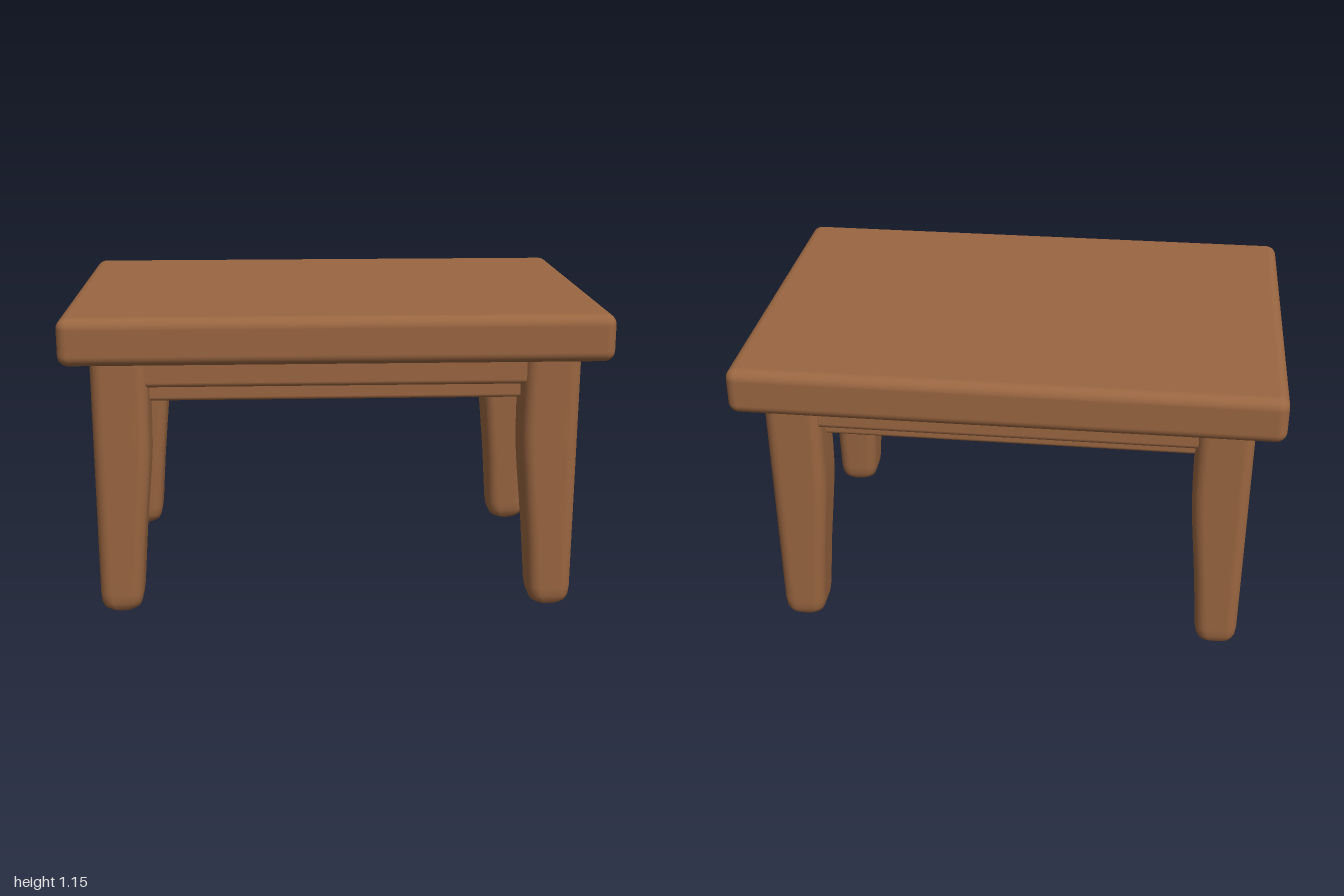
import * as THREE from 'three';
import { RoundedBoxGeometry } from 'three/addons/geometries/RoundedBoxGeometry.js';

const wood = new THREE.MeshStandardMaterial({ color: 0x9a6641 });
wood.name = 'brown wood';

// Leg levels: height, inner x, inner z, inset all round (for the rounded foot)
const LEVELS = [
  [0, 0.737, 0.42, 0.045],
  [0.008, 0.737, 0.42, 0.026],
  [0.022, 0.736, 0.42, 0.011],
  [0.045, 0.735, 0.419, 0.003],
  [0.08, 0.733, 0.418, 0],
  [0.3, 0.718, 0.404, 0],
  [0.52, 0.698, 0.39, 0],
  [0.62, 0.691, 0.384, 0],
  [0.7, 0.69, 0.383, 0],
  [1.0, 0.69, 0.383, 0],
];

// Tapered leg lofted through rounded rectangles; outer faces stay upright
function legGeometry(sx, sz) {
  const steps = 5, count = 4 * (steps + 1);
  const pos = [], index = [];
  for (const [y, innerX, innerZ, inset] of LEVELS) {
    const outerX = 0.894 + 0.006 * y, outerZ = 0.6 + 0.004 * y;
    const cx = sx * (innerX + outerX) / 2, cz = sz * (innerZ + outerZ) / 2;
    const hx = (outerX - innerX) / 2 - inset, hz = (outerZ - innerZ) / 2 - inset;
    const r = Math.min(0.045, hx * 0.9);
    for (let c = 0; c < 4; c++) {
      const mid = Math.PI / 4 + c * Math.PI / 2;
      for (let i = 0; i <= steps; i++) {
        const a = (c + i / steps) * Math.PI / 2;
        pos.push(
          cx + Math.sign(Math.cos(mid)) * (hx - r) + r * Math.cos(a),
          y,
          cz + Math.sign(Math.sin(mid)) * (hz - r) + r * Math.sin(a));
      }
    }
  }
  for (let l = 0; l < LEVELS.length - 1; l++) {
    for (let i = 0; i < count; i++) {
      const a = l * count + i, b = l * count + (i + 1) % count;
      index.push(a, a + count, b, b, a + count, b + count);
    }
  }
  // Sole
  const sole = pos.length / 3;
  pos.push(sx * 0.816, 0, sz * 0.51);
  for (let i = 0; i < count; i++) index.push(sole, i, (i + 1) % count);
  const geo = new THREE.BufferGeometry();
  geo.setAttribute('position', new THREE.Float32BufferAttribute(pos, 3));
  geo.setIndex(index);
  geo.computeVertexNormals();
  return geo;
}

export function createModel() {
  const group = new THREE.Group();
  group.name = 'table';
  const add = (name, geometry, x = 0, y = 0, z = 0) => {
    const mesh = new THREE.Mesh(geometry, wood);
    mesh.name = name;
    mesh.position.set(x, y, z);
    group.add(mesh);
  };

  // Thick slab with softened edges
  add('tableTop', new RoundedBoxGeometry(2, 0.175, 1.395, 5, 0.04), 0, 1.0675, 0);

  for (const s of [-1, 1]) {
    const end = s > 0 ? 'front' : 'back', side = s > 0 ? 'left' : 'right';

    for (const sx of [-1, 1]) {
      add(end + (sx > 0 ? 'Left' : 'Right') + 'Leg', legGeometry(sx, s));
    }

    // Outer aprons, nearly flush with the legs
    add(end + 'Apron', new RoundedBoxGeometry(1.5, 0.13, 0.09, 3, 0.02), 0, 0.942, s * 0.54);
    add(side + 'Apron', new RoundedBoxGeometry(0.09, 0.13, 0.9, 3, 0.02), s * 0.835, 0.942, 0);

    // Inner rails, hanging lower behind the aprons
    add(end + 'InnerRail', new RoundedBoxGeometry(1.5, 0.19, 0.09, 3, 0.015), 0, 0.903, s * 0.46);
    add(side + 'InnerRail', new RoundedBoxGeometry(0.09, 0.19, 0.9, 3, 0.015), s * 0.755, 0.903, 0);
  }
  return group;
}
